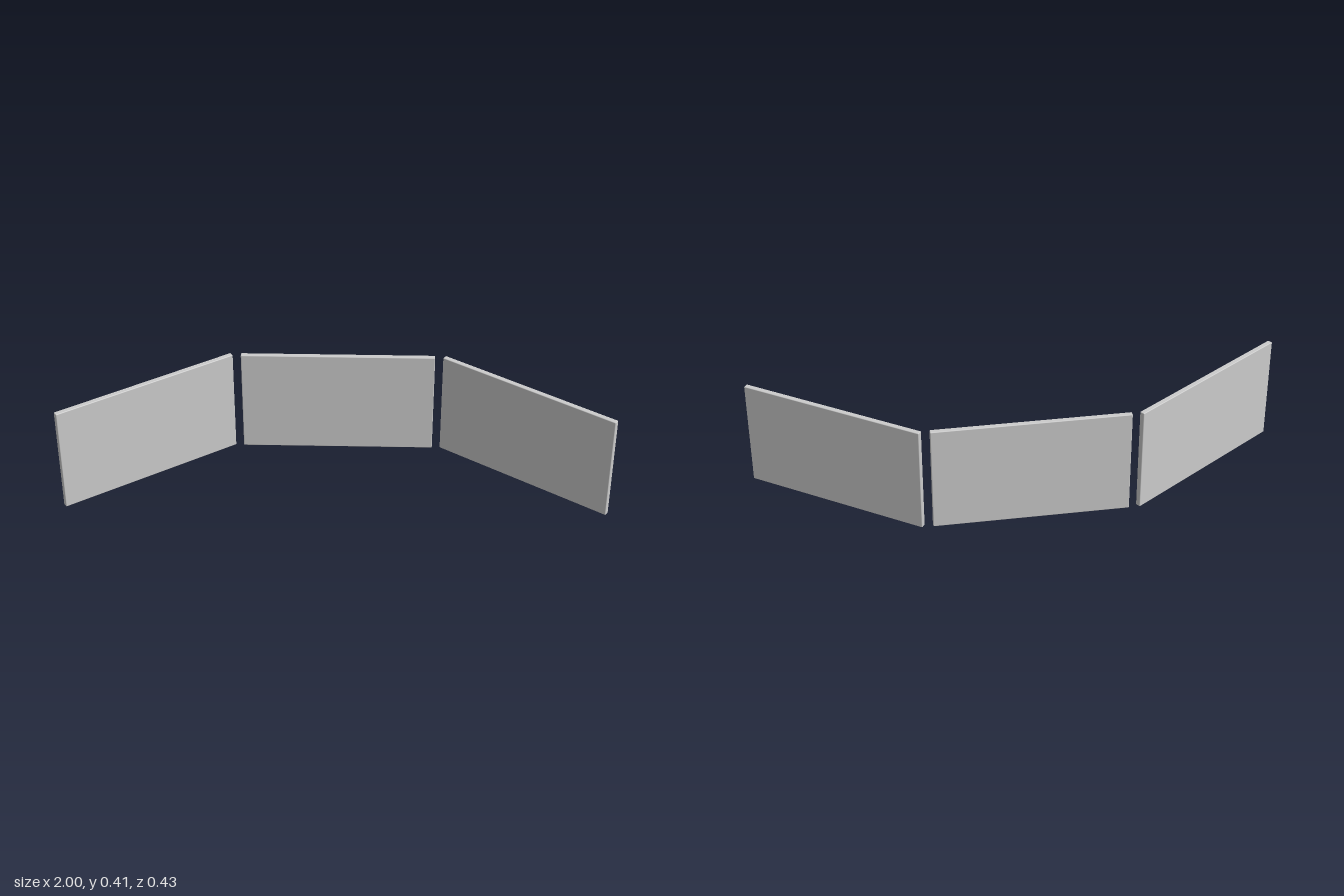
import * as THREE from 'three';
import { RoundedBoxGeometry } from 'three/addons/geometries/RoundedBoxGeometry.js';

const LENGTH = 0.728, HEIGHT = 0.408, THICKNESS = 0.02;

export function createModel() {
  const group = new THREE.Group();
  group.name = 'threePanelScreen';
  const material = new THREE.MeshStandardMaterial({ color: 0xcccccc });
  // One thin slab with slightly softened edges, shared by all panels
  const geometry = new RoundedBoxGeometry(LENGTH, HEIGHT, THICKNESS, 2, 0.003);

  const addPanel = (name, x, z, turn) => {
    const panel = new THREE.Mesh(geometry, material);
    panel.name = name;
    panel.position.set(x, HEIGHT / 2, z);
    panel.rotation.y = turn;
    group.add(panel);
  };

  addPanel('centrePanel', 0, -0.207, 0);

  // Side panels angled forward, mirrored
  const angle = THREE.MathUtils.degToRad(35);
  for (const [name, side] of [['leftPanel', 1], ['rightPanel', -1]]) {
    addPanel(name, side * 0.697, 0, -side * angle);
  }
  return group;
}
